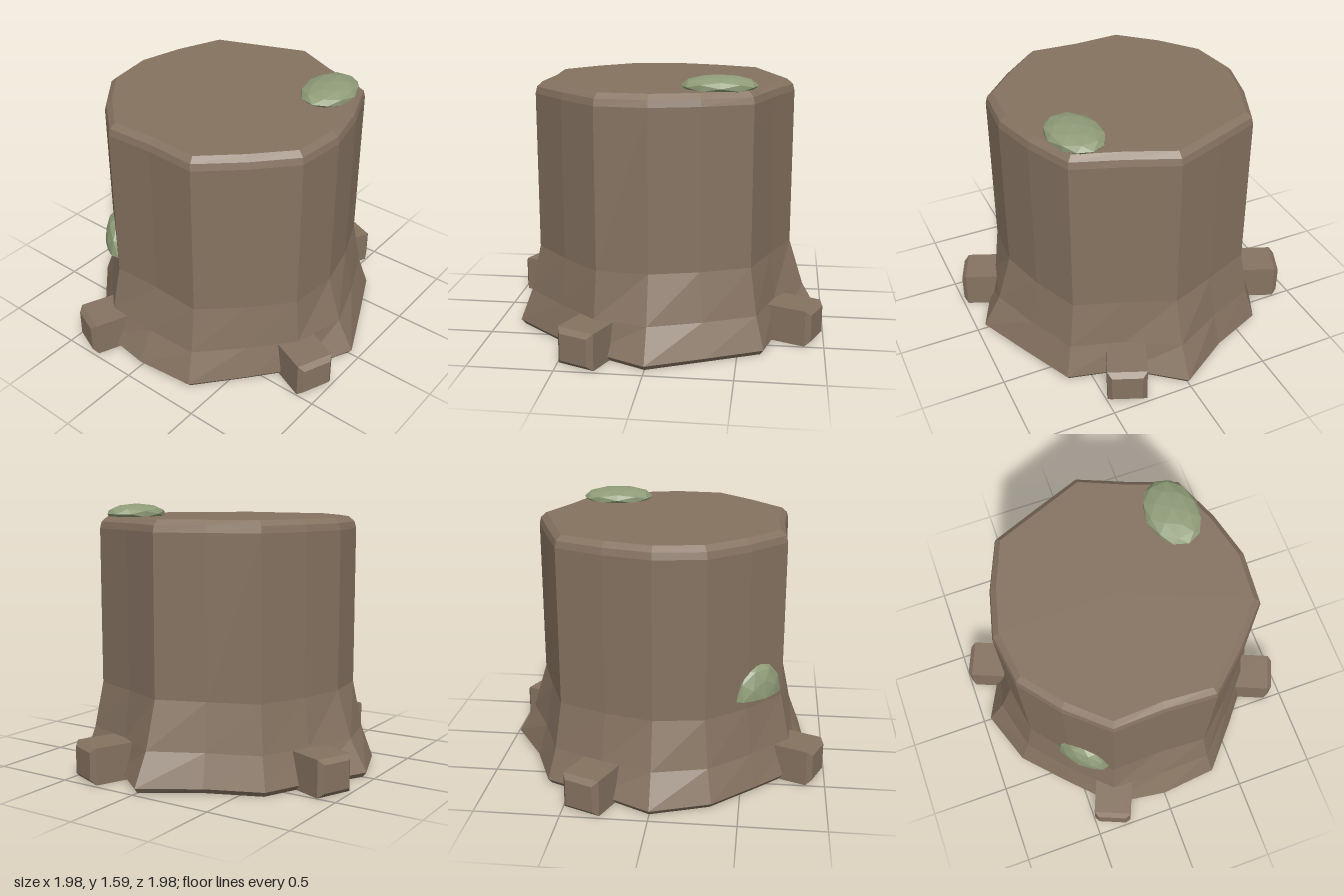
import * as THREE from 'three';

const SIDES = 16;
// Radii of trunk and of flared foot, every 22.5 degrees from +x towards +z
const TRUNK = [0.785, 0.725, 0.8, 0.74, 0.755, 0.79, 0.745, 0.79, 0.715, 0.785, 0.745, 0.77, 0.755, 0.74, 0.8, 0.735];
const FOOT = [0.98, 0.8, 0.92, 0.866, 0.95, 0.86, 0.83, 0.925, 0.89, 0.91, 0.84, 0.897, 0.95, 0.85, 0.91, 0.84];
// Cross-sections: height, amount of flare, inset
const RINGS = [
  [0, 1, 0.025], [0.03, 1, 0], [0.22, 0.45, 0], [0.5, 0, 0],
  [1.44, 0, 0], [1.48, 0, 0.01], [1.51, 0, 0.045],
];

function flat(geometry) {
  const g = geometry.index ? geometry.toNonIndexed() : geometry;
  g.computeVertexNormals();
  return g;
}

function trunkGeometry() {
  const pos = [], index = [];
  for (const [y, flare, inset] of RINGS) {
    for (let k = 0; k < SIDES; k++) {
      const a = k * Math.PI * 2 / SIDES;
      const r = TRUNK[k] + (FOOT[k] - TRUNK[k]) * flare - inset;
      pos.push(Math.cos(a) * r, y, Math.sin(a) * r);
    }
  }
  const top = RINGS.length - 1;
  const bottomCentre = RINGS.length * SIDES, topCentre = bottomCentre + 1;
  pos.push(0, 0, 0, 0, 1.51, 0);
  for (let k = 0; k < SIDES; k++) {
    const n = (k + 1) % SIDES;
    for (let j = 0; j < top; j++) {
      const a = j * SIDES + k, b = j * SIDES + n;
      index.push(a, a + SIDES, b, b, a + SIDES, b + SIDES);
    }
    index.push(bottomCentre, k, n, topCentre, top * SIDES + n, top * SIDES + k);
  }
  const g = new THREE.BufferGeometry();
  g.setAttribute('position', new THREE.Float32BufferAttribute(pos, 3));
  g.setIndex(index);
  return flat(g);
}

// Box with chamfered edges, standing on y = 0 and running along +z
function rootGeometry(width, height, start, end, bevel) {
  const w = width / 2 - bevel;
  const shape = new THREE.Shape([
    new THREE.Vector2(-w, bevel), new THREE.Vector2(w, bevel),
    new THREE.Vector2(w, height - bevel), new THREE.Vector2(-w, height - bevel),
  ]);
  const g = new THREE.ExtrudeGeometry(shape, {
    depth: end - start - 2 * bevel, bevelEnabled: true,
    bevelSegments: 1, bevelSize: bevel, bevelThickness: bevel,
  });
  return g.translate(0, 0, start + bevel);
}

// Faceted clump with its underside cut flat at the given level
function mossGeometry(sx, sy, sz, cut) {
  const g = new THREE.IcosahedronGeometry(1, 1);
  const p = g.attributes.position;
  for (let i = 0; i < p.count; i++) p.setY(i, Math.max(p.getY(i), cut));
  return flat(g.scale(sx, sy, sz));
}

export function createModel() {
  const bark = new THREE.MeshStandardMaterial({ color: 0x867361 });
  bark.name = 'bark';
  const moss = new THREE.MeshStandardMaterial({ color: 0x8f9c78 });
  moss.name = 'moss';

  const group = new THREE.Group();
  group.name = 'treeStump';
  const add = (name, geometry, material) => {
    const mesh = new THREE.Mesh(geometry, material);
    mesh.name = name;
    group.add(mesh);
    return mesh;
  };

  add('trunk', trunkGeometry(), bark);

  // Four stubby roots, a quarter turn apart
  const rootShape = rootGeometry(0.235, 0.218, 0.6, 1.035, 0.028);
  for (let i = 0; i < 4; i++) {
    add('root' + (i + 1), rootShape, bark).rotation.y = Math.PI * (3 / 8 - i / 2);
  }

  // Moss on the cut top and on the back right of the trunk
  const topMoss = add('topMoss', mossGeometry(0.22, 0.06, 0.16, -0.4), moss);
  topMoss.position.set(0.365, 1.525, 0.445);
  topMoss.rotation.y = 0.1;

  const sideMoss = add('sideMoss', mossGeometry(0.175, 0.2, 0.075, 0), moss);
  sideMoss.position.set(-0.58, 0.56, -0.45);
  sideMoss.rotation.y = Math.PI * 1.25;

  return group;
}
